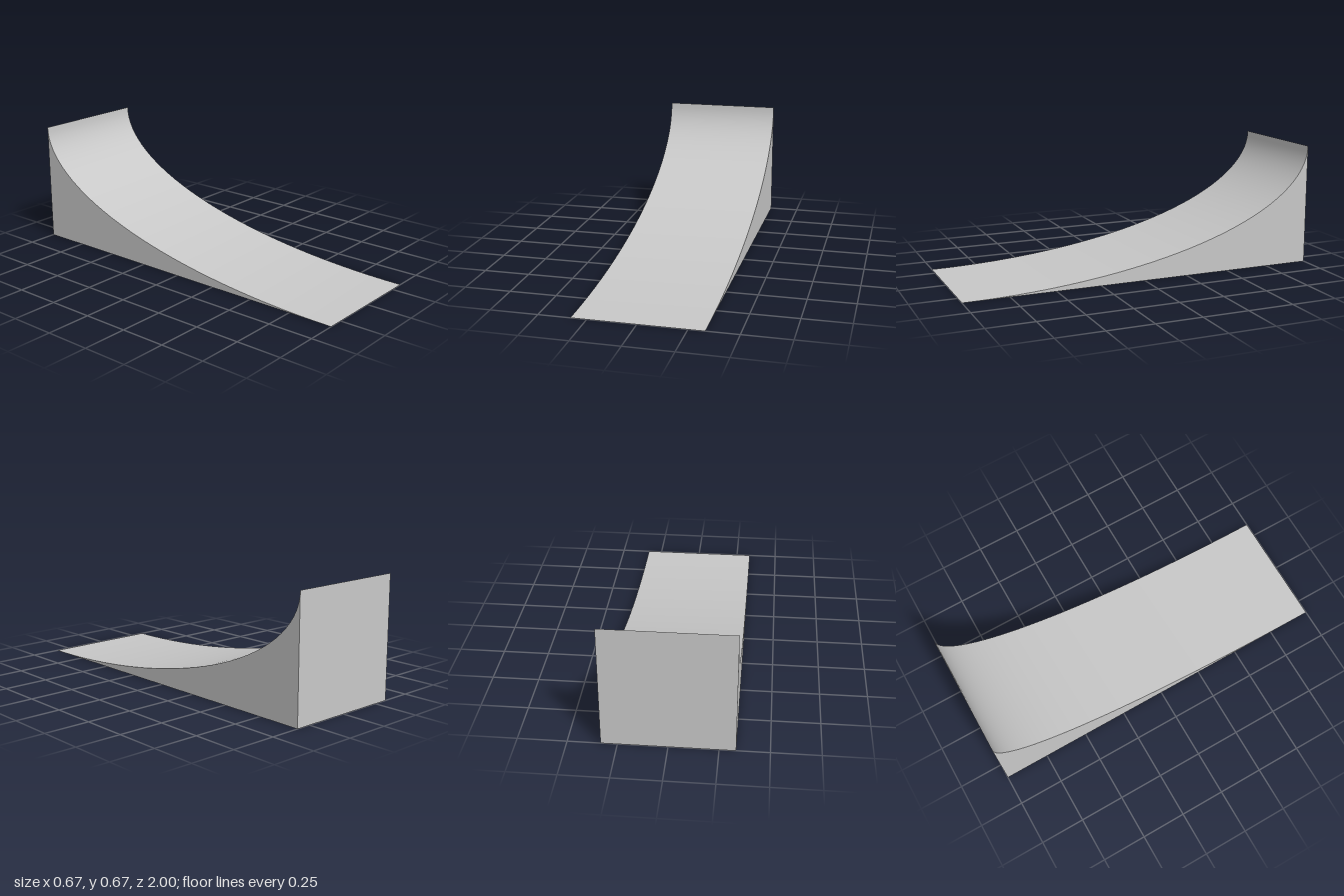
import * as THREE from 'three';
import { toCreasedNormals } from 'three/addons/utils/BufferGeometryUtils.js';

const HEIGHT = 2 / 3, WIDTH = 2 / 3, LENGTH = 2, STEPS = 32;

export function createModel() {
  const group = new THREE.Group();
  group.name = 'quarterPipeRamp';
  const grey = new THREE.MeshStandardMaterial({ color: 0xc8c8c8 });
  grey.name = 'light grey';

  // Side profile: a quarter ellipse from the thin front lip up to the tall back
  const points = [];
  for (let i = 0; i <= STEPS; i++) {
    const a = (i / STEPS) * Math.PI / 2;
    points.push(new THREE.Vector2(1 - LENGTH * Math.sin(a), HEIGHT * (1 - Math.cos(a))));
  }
  points.push(new THREE.Vector2(-1, 0));

  // Extrude across the width, then turn so the profile runs along z
  const extruded = new THREE.ExtrudeGeometry(new THREE.Shape(points), { depth: WIDTH, bevelEnabled: false });
  extruded.rotateY(-Math.PI / 2);
  extruded.translate(WIDTH / 2, 0, 0);

  const ramp = new THREE.Mesh(toCreasedNormals(extruded, 0.6), grey);
  ramp.name = 'curvedRamp';
  group.add(ramp);
  return group;
}
